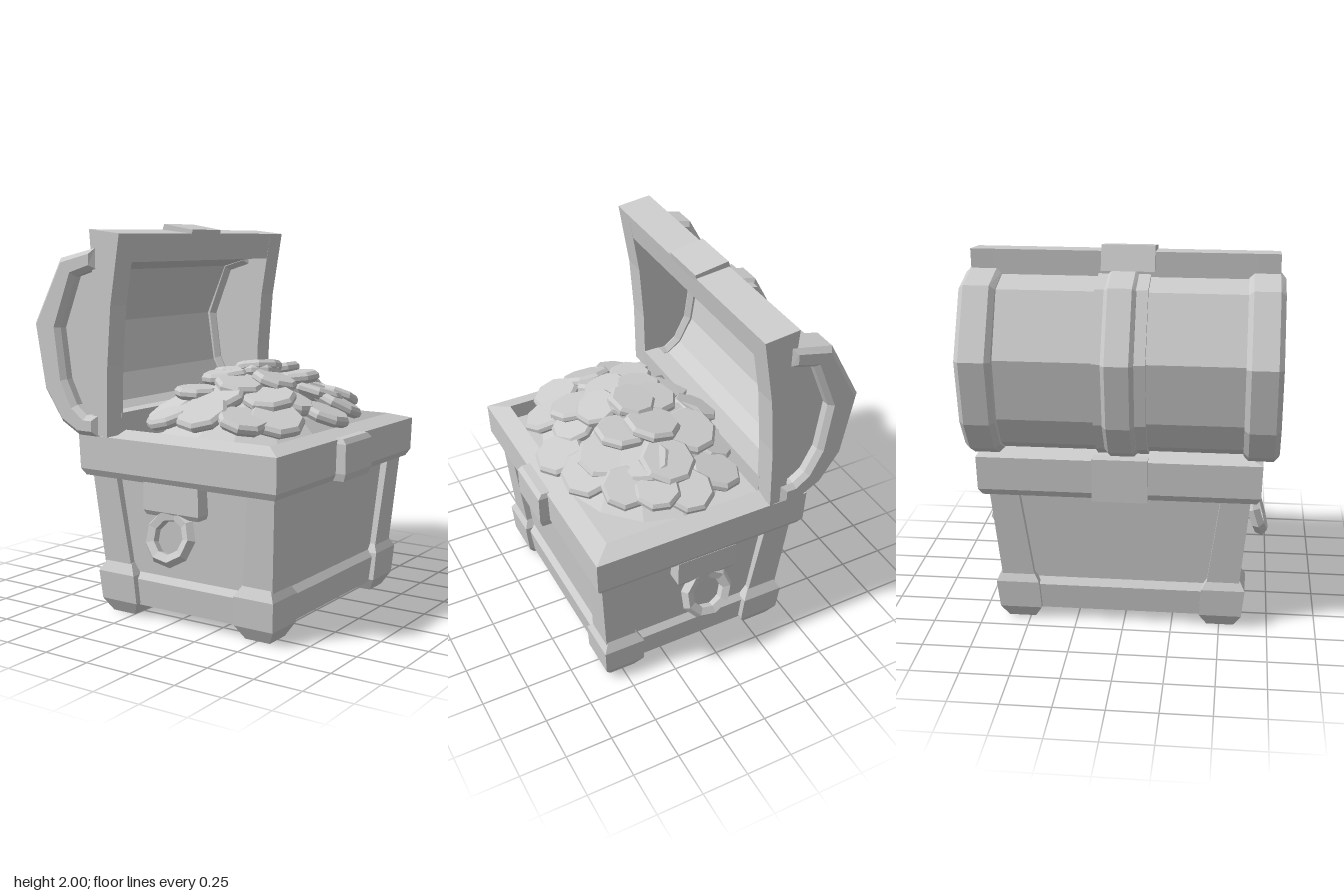
import * as THREE from 'three';

const material = new THREE.MeshStandardMaterial({ color: 0xcccccc, flatShading: true, side: THREE.DoubleSide });
const CX = 0.09, CZ = -0.02; // middle of the chest body

function add(parent, name, geometry) {
  const mesh = new THREE.Mesh(geometry, material);
  mesh.name = name;
  parent.add(mesh);
  return mesh;
}

// Skin stacked rectangles [y, x0, x1, z0, z1], optionally capped
function loft(rings, capped = true) {
  const pos = [], idx = [];
  for (const [y, x0, x1, z0, z1] of rings) pos.push(x0, y, z1, x1, y, z1, x1, y, z0, x0, y, z0);
  for (let r = 0; r < rings.length - 1; r++) {
    for (let i = 0; i < 4; i++) {
      const a = r * 4 + i, b = r * 4 + (i + 1) % 4;
      idx.push(a, b, b + 4, a, b + 4, a + 4);
    }
  }
  if (capped) {
    const t = (rings.length - 1) * 4;
    idx.push(0, 2, 1, 0, 3, 2, t, t + 1, t + 2, t, t + 2, t + 3);
  }
  const g = new THREE.BufferGeometry();
  g.setAttribute('position', new THREE.Float32BufferAttribute(pos, 3));
  g.setIndex(idx);
  const flat = g.toNonIndexed();
  flat.computeVertexNormals();
  return flat;
}

// Rectangle centred on the body, from half sizes
const centred = (y, hx, hz) => [y, CX - hx, CX + hx, CZ - hz, CZ + hz];
const box = (x0, x1, y0, y1, z0, z1) => loft([[y0, x0, x1, z0, z1], [y1, x0, x1, z0, z1]]);

// Extrude an xy outline from z0 to z1 with an optional chamfer
function prism(points, z0, z1, bevel = 0) {
  const g = new THREE.ExtrudeGeometry(new THREE.Shape(points.map(p => new THREE.Vector2(...p))), {
    depth: z1 - z0 - 2 * bevel, bevelEnabled: bevel > 0, bevelSize: bevel,
    bevelThickness: bevel, bevelOffset: -bevel, bevelSegments: 1,
  });
  return g.translate(0, 0, z0 + bevel);
}

function buildBody(chest) {
  const body = new THREE.Group();
  body.name = 'body';
  chest.add(body);
  add(body, 'panels', loft([centred(0.06, 0.465, 0.575), centred(0.88, 0.515, 0.635)]));

  // Rim frame around the opening
  add(body, 'rim', loft([
    centred(0.82, 0.49, 0.62), centred(0.73, 0.5, 0.63), centred(0.73, 0.565, 0.695),
    centred(0.765, 0.585, 0.715), centred(0.94, 0.59, 0.72), centred(0.97, 0.49, 0.62),
    centred(0.82, 0.49, 0.62),
  ], false));
  add(body, 'claspPlate', loft([
    [0.73, 0.62, 0.715, -0.14, 0.12], [0.77, 0.62, 0.73, -0.15, 0.13],
    [0.92, 0.62, 0.73, -0.15, 0.13], [0.945, 0.62, 0.71, -0.14, 0.12]]));
  add(body, 'hingePlate', box(-0.52, -0.44, 0.73, 0.955, -0.15, 0.13));

  // Corner posts and feet: rings are [y, outer half x, outer half z, inset, width]
  for (const sx of [-1, 1]) for (const sz of [-1, 1]) {
    const corner = rings => loft(rings.map(([y, hx, hz, inset, w]) => {
      const xs = [CX + sx * (hx - inset), CX + sx * (hx - w)].sort((a, b) => a - b);
      const zs = [CZ + sz * (hz - inset), CZ + sz * (hz - w)].sort((a, b) => a - b);
      return [y, ...xs, ...zs];
    }));
    add(body, 'cornerPost', corner([[0.2, 0.505, 0.615, 0, 0.17], [0.74, 0.545, 0.665, 0, 0.15]]));
    add(body, 'foot', corner([
      [0, 0.52, 0.635, 0.04, 0.18], [0.07, 0.52, 0.635, 0, 0.22],
      [0.22, 0.53, 0.65, 0, 0.225], [0.275, 0.53, 0.65, 0.03, 0.19]]));
  }

  // Bottom rails with a sloping top edge
  for (const s of [-1, 1]) {
    const rail = (y, out, half, alongX) => {
      const c = alongX ? CZ : CX;
      const span = [c + s * out, c + s * (out - 0.08)].sort((a, b) => a - b);
      return alongX ? [y, CX - half, CX + half, ...span] : [y, ...span, CZ - half, CZ + half];
    };
    add(body, 'sideRail', loft([rail(0.06, 0.6, 0.4, true), rail(0.2, 0.615, 0.4, true), rail(0.235, 0.585, 0.4, true)]));
    add(body, 'endRail', loft([rail(0.06, 0.49, 0.5, false), rail(0.2, 0.505, 0.5, false), rail(0.235, 0.475, 0.5, false)]));
  }

  // Handle plate and hanging ring on both sides
  for (const s of [-1, 1]) {
    const handle = new THREE.Group();
    handle.name = 'handle';
    handle.position.set(0.06, 0, CZ);
    handle.rotation.y = s > 0 ? 0 : Math.PI;
    body.add(handle);
    add(handle, 'handlePlate', loft([
      [0.57, -0.155, 0.155, 0.58, 0.685], [0.595, -0.165, 0.165, 0.58, 0.7], [0.735, -0.165, 0.165, 0.58, 0.7]]));
    const ring = add(handle, 'handleRing', new THREE.TorusGeometry(0.115, 0.035, 5, 9));
    ring.position.set(0, 0.475, 0.7);
    ring.rotation.set(-0.3, 0, 0);
  }
}

function buildLid(chest) {
  const lid = new THREE.Group();
  lid.name = 'lid';
  chest.add(lid);
  const profile = [[-0.33, 1.88], [-0.55, 1.83], [-0.73, 1.5], [-0.67, 1.17], [-0.56, 1.01], [-0.45, 0.95], [-0.33, 0.95]];
  const scaled = (kx, ky) => profile.map(([x, y]) => [-0.33 + (x + 0.33) * kx, 1.42 + (y - 1.42) * ky]);
  const arch = (ox, oy, ix, iy) => [...scaled(ox, oy), ...scaled(ix, iy).reverse()];

  add(lid, 'barrel', prism(arch(0.84, 0.94, 0.68, 0.84), -0.64, 0.64));
  for (const s of [-1, 1]) {
    const span = (a, b) => (s > 0 ? [a, b] : [-b, -a]);
    add(lid, 'endPanel', prism(scaled(0.9, 0.95), ...span(0.63, 0.71)));
    add(lid, 'endBand', prism(arch(1, 1, 0.58, 0.78), ...span(0.6, 0.775), 0.025));
    // Curved side of the opening frame
    add(lid, 'frameSide', prism([
      [-0.275, 0.95], [-0.265, 1.3], [-0.24, 1.6], [-0.18, 1.95], [-0.365, 1.97],
      [-0.345, 1.7], [-0.345, 1.4], [-0.37, 0.96]], ...span(0.625, 0.75)));
  }
  add(lid, 'frameTop', prism([[-0.205, 1.81], [-0.18, 1.95], [-0.365, 1.97], [-0.355, 1.81]], -0.64, 0.64));
  add(lid, 'frameBottom', prism([[-0.275, 0.95], [-0.27, 1.06], [-0.36, 1.06], [-0.37, 0.96]], -0.64, 0.64));

  // Middle strap with its wider base and catch
  add(lid, 'strapBase', prism(arch(0.9, 0.97, 0.8, 0.9), -0.125, 0.13));
  add(lid, 'strap', prism(arch(1, 1, 0.8, 0.9), -0.08, 0.075, 0.02));
  add(lid, 'catch', prism([[-0.19, 1.9], [-0.175, 1.97], [-0.36, 2], [-0.4, 1.88]], -0.11, 0.15));
}

function buildTreasure(chest) {
  const pile = new THREE.Group();
  pile.name = 'treasure';
  chest.add(pile);
  let seed = 7;
  const rand = () => (seed = (seed * 16807) % 2147483647) / 2147483647;
  const RX = 0.52, RZ = 0.68, PX = 0.13;
  const height = d => 0.96 + 0.27 * (1 - Math.pow(d, 1.5));

  // Mound under the coins
  const curve = [1, 0.75, 0.5, 0.25, 0].map(d => new THREE.Vector2(d * 0.88, height(d) - 0.04));
  const mound = add(pile, 'mound', new THREE.LatheGeometry(curve, 14));
  mound.scale.set(RX, 1, RZ);
  mound.position.x = PX;

  // Chunky eight-sided coins, lying along the slope in rings
  const up = new THREE.Vector3(0, 1, 0);
  const addCoin = (x, y, z, r, tilt) => {
    const t = 0.03;
    const outline = [[0, -t], [r * 0.84, -t], [r, -t * 0.3], [r, t * 0.4], [r * 0.88, t], [0, t]];
    const coin = add(pile, 'coin', new THREE.LatheGeometry(outline.map(p => new THREE.Vector2(...p)), 8));
    coin.position.set(x, y, z);
    coin.quaternion.setFromUnitVectors(up, tilt.normalize());
    coin.rotateY(rand() * 3);
  };
  const rings = [[0.82, 14], [0.56, 10], [0.3, 6], [0.06, 2]];
  for (const [d, count] of rings) {
    for (let i = 0; i < count; i++) {
      const a = (i + 0.5 * rand()) / count * Math.PI * 2;
      const dd = d + (rand() - 0.5) * 0.12;
      const c = Math.cos(a), s = Math.sin(a);
      const tilt = new THREE.Vector3(c * 0.5 * d + (rand() - 0.5) * 0.4, 1, s * 0.42 * d + (rand() - 0.5) * 0.4);
      addCoin(PX + c * dd * RX * 0.9, height(dd) + rand() * 0.04, s * dd * RZ, 0.115 + rand() * 0.035, tilt);
    }
  }
}

export function createModel() {
  const chest = new THREE.Group();
  chest.name = 'treasureChest';
  buildBody(chest);
  buildLid(chest);
  buildTreasure(chest);
  return chest;
}
